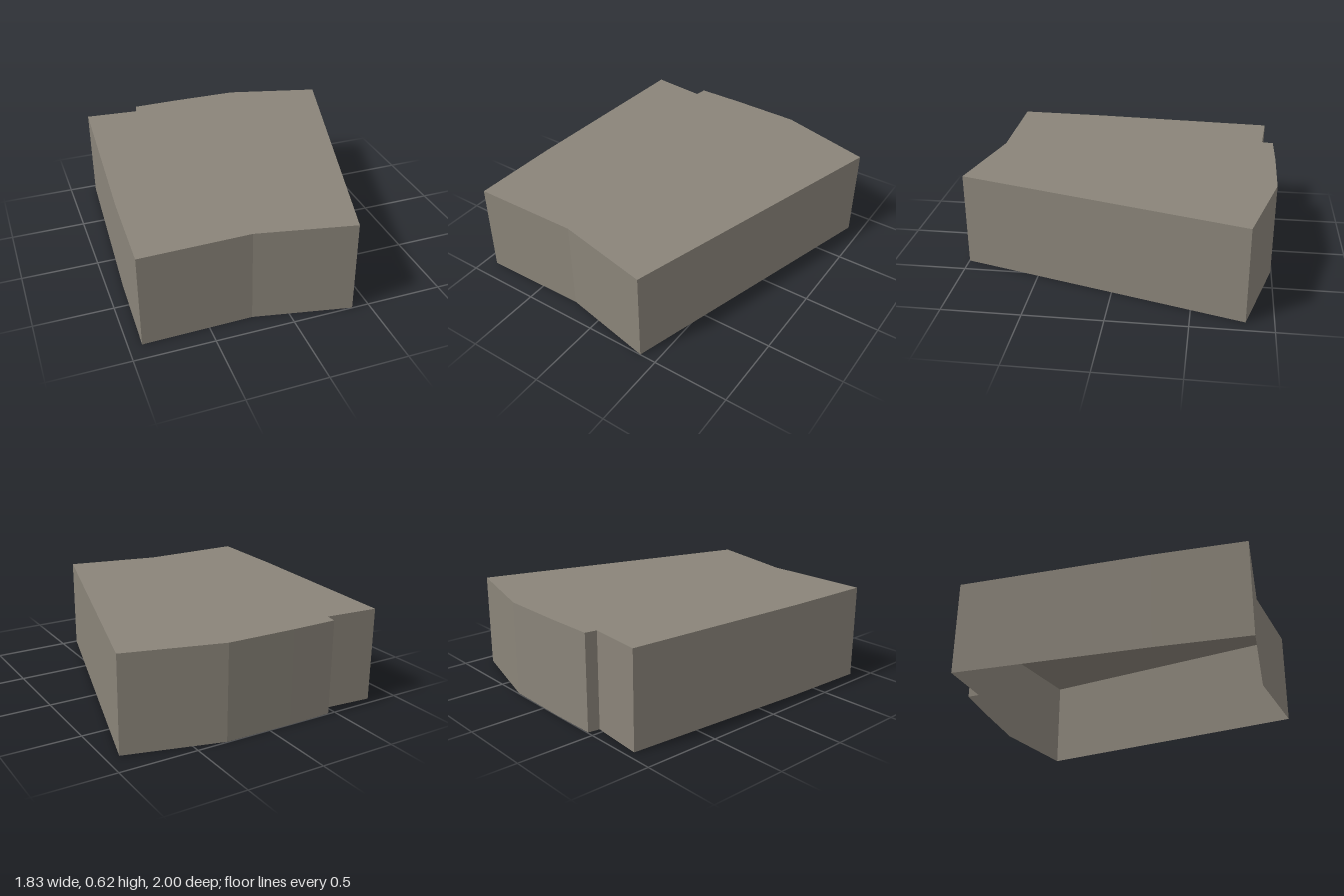
import * as THREE from 'three';

const HEIGHT = 0.615;

// Footprint corners as [x, z], clockwise seen from above
const FOOTPRINT = [
  [-0.82, -0.95], [-0.465, -0.92], [-0.453, -0.995], [-0.15, -1.0], [0.3, -0.995],
  [0.915, -0.83], [0.39, 0.998], [-0.225, 0.87], [-0.918, 0.882], [-0.898, 0.3],
];

export function createModel() {
  const model = new THREE.Group();
  model.name = 'building';
  const stone = new THREE.MeshStandardMaterial({ color: 0x8a8479, side: THREE.DoubleSide });
  stone.name = 'warm grey';

  // Flat roof
  const outline = new THREE.Shape(FOOTPRINT.map(([x, z]) => new THREE.Vector2(x, -z)));
  const roof = new THREE.Mesh(new THREE.ShapeGeometry(outline).rotateX(-Math.PI / 2), stone);
  roof.name = 'roof';
  roof.position.y = HEIGHT;
  model.add(roof);

  // One upright wall per footprint edge; the underside stays open
  const walls = new THREE.Group();
  walls.name = 'walls';
  FOOTPRINT.forEach(([ax, az], i) => {
    const [bx, bz] = FOOTPRINT[(i + 1) % FOOTPRINT.length];
    const wall = new THREE.Mesh(new THREE.PlaneGeometry(Math.hypot(bx - ax, bz - az), HEIGHT), stone);
    wall.name = `wall${i + 1}`;
    wall.position.set((ax + bx) / 2, HEIGHT / 2, (az + bz) / 2);
    wall.rotation.y = Math.atan2(bz - az, ax - bx);
    walls.add(wall);
  });
  model.add(walls);
  return model;
}
